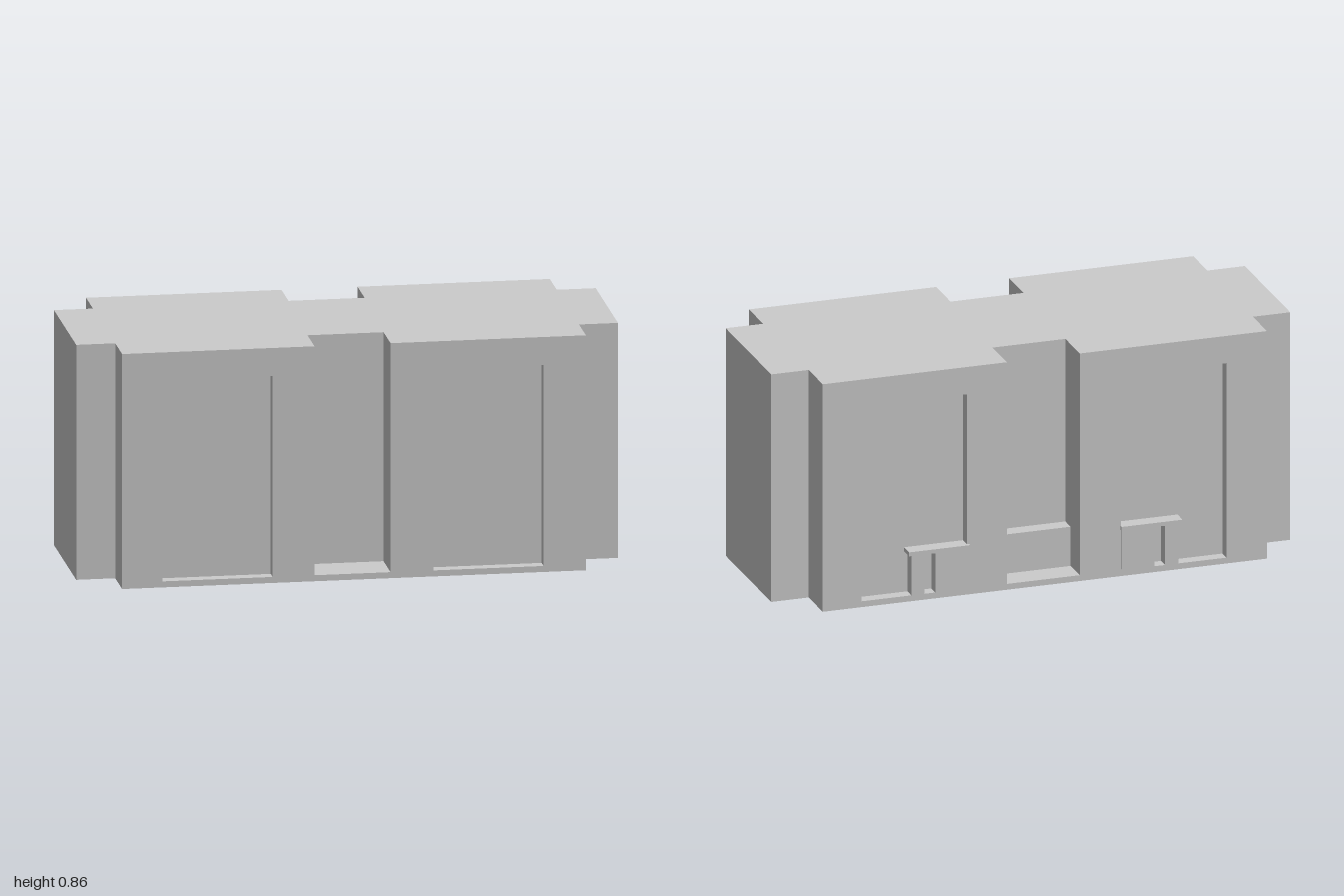
import * as THREE from 'three';

const HEIGHT = 0.86, FLOOR = 0.022, HEAD = 0.757;
const FRONT = 0.402, RECESS = 0.358, NICHE = 0.245;

// Plan outline: one long side, then the same side turned by 180 degrees
function outline({ windows, niche }, inset = 0) {
  const notch = (a, b, v) => [[a, FRONT], [a, v], [b, v], [b, FRONT]];
  const s = inset;
  const half = [
    [-0.972 + s, 0.248 - s], [-0.832 + s, 0.248 - s], [-0.832 + s, FRONT - s],
    ...(windows ? notch(-0.687, -0.292, RECESS) : []),
    ...(niche ? notch(-0.142, 0.131, NICHE) : []),
    ...(windows ? notch(0.285, 0.68, RECESS) : []),
    [0.832 - s, FRONT - s], [0.832 - s, 0.248 - s], [0.972 - s, 0.248 - s],
  ];
  return [...half, ...half.map(([u, v]) => [-u, -v])].map(([u, v]) => new THREE.Vector2(u, v));
}

export function createModel() {
  const group = new THREE.Group();
  const material = new THREE.MeshStandardMaterial({ color: 0xcccccc, flatShading: true });

  function add(name, geometry) {
    const mesh = new THREE.Mesh(geometry, material);
    mesh.name = name;
    group.add(mesh);
  }
  // Vertical extrusion of a plan between two heights
  function storey(name, points, y0, y1, hole) {
    const shape = new THREE.Shape(points);
    if (hole) shape.holes.push(new THREE.Path(hole));
    const geometry = new THREE.ExtrudeGeometry(shape, { depth: y1 - y0, bevelEnabled: false });
    geometry.rotateX(Math.PI / 2).translate(0, y1, 0);
    add(name, geometry);
  }
  // Box given by its extents
  function block(name, [x0, x1], [y0, y1], [z0, z1]) {
    const geometry = new THREE.BoxGeometry(x1 - x0, y1 - y0, z1 - z0);
    geometry.translate((x0 + x1) / 2, (y0 + y1) / 2, (z0 + z1) / 2);
    add(name, geometry);
  }

  // Open rim under the floor, floor plate, walls with recesses, solid top
  const plain = { windows: false, niche: false };
  storey('baseRim', outline(plain), 0, FLOOR, outline(plain, 0.002));
  storey('floorPlate', outline(plain, 0.001), FLOOR - 0.004, FLOOR);
  storey('walls', outline({ windows: true, niche: true }), FLOOR, HEAD);
  storey('upperWallsAndRoof', outline({ windows: false, niche: true }), HEAD, HEIGHT);

  // Low step inside the rear niche
  block('nicheStep', [-0.131, 0.142], [FLOOR, 0.17], [-0.302, -NICHE]);

  // Rear windows: filled lower corner, shelf and its post, mirrored
  for (const side of [1, -1]) {
    const span = (a, b) => (side > 0 ? [a, b] : [-b, -a]);
    block('lowerInfill', span(0.288, 0.41), [FLOOR, 0.175], [-FRONT, -RECESS]);
    block('shelf', span(0.283, 0.512), [0.175, 0.19], [-0.414, -RECESS]);
    block('shelfPost', span(0.45, 0.5), [FLOOR, 0.175], [-FRONT, -RECESS]);
  }

  // The block stands slightly turned
  group.rotation.y = -0.154;
  const model = new THREE.Group();
  model.name = 'buildingBlock';
  model.add(group);
  return model;
}
